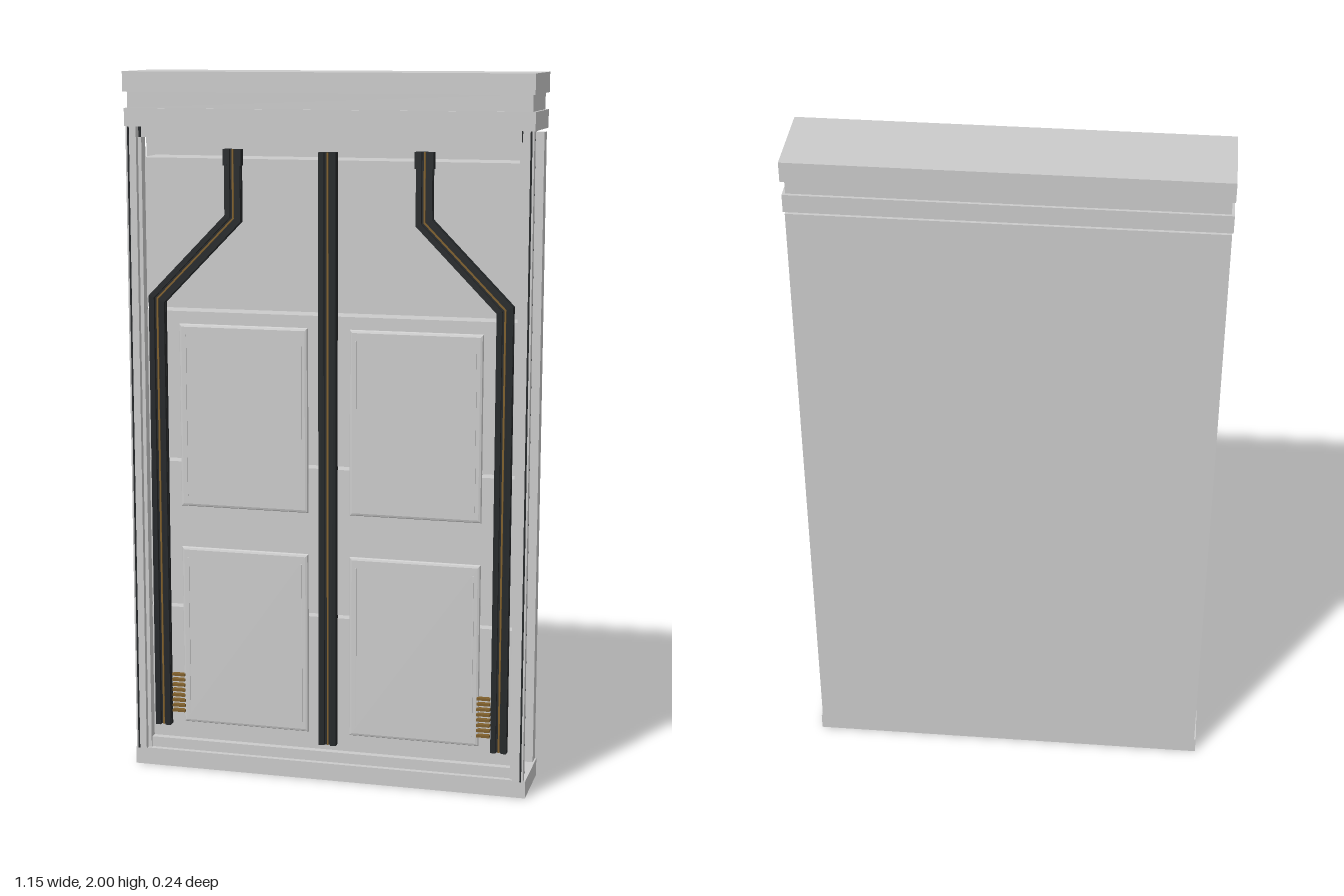
import * as THREE from 'three';

const mat = (color) => new THREE.MeshStandardMaterial({ color, flatShading: true });
const grey = mat(0xcccccc);
const dark = mat(0x25282a);
const bronze = mat(0x80602c);

export function createModel() {
  const model = new THREE.Group();

  function add(name, geometry, material) {
    const mesh = new THREE.Mesh(geometry, material);
    mesh.name = name;
    model.add(mesh);
    return mesh;
  }

  // Box given by its limits on each axis
  function box(name, x0, x1, y0, y1, z0, z1, material = grey) {
    const g = new THREE.BoxGeometry(x1 - x0, y1 - y0, z1 - z0);
    g.translate((x0 + x1) / 2, (y0 + y1) / 2, (z0 + z1) / 2);
    return add(name, g, material);
  }

  // Flat bar of constant width following a path, with mitred bends
  function ribbon(name, path, width, z0, z1, material, shift = 0) {
    const pts = path.map(([x, y]) => new THREE.Vector2(x, y));
    const offset = (d) => pts.map((p, i) => {
      const a = pts[Math.max(i - 1, 0)], b = pts[Math.min(i + 1, pts.length - 1)];
      const d1 = (i > 0 ? p.clone().sub(a) : b.clone().sub(p)).normalize();
      const d2 = (i < pts.length - 1 ? b.clone().sub(p) : d1.clone()).normalize();
      const n1 = new THREE.Vector2(-d1.y, d1.x);
      const n = n1.clone().add(new THREE.Vector2(-d2.y, d2.x)).normalize();
      return p.clone().addScaledVector(n, d / n.dot(n1));
    });
    const outline = [...offset(shift - width / 2), ...offset(shift + width / 2).reverse()];
    const g = new THREE.ExtrudeGeometry(new THREE.Shape(outline), { depth: z1 - z0, bevelEnabled: false });
    g.translate(0, 0, z0);
    return add(name, g, material);
  }

  // Plinth and stepped cornice
  box('plinth', -0.575, 0.575, 0, 0.05, -0.095, 0.1);
  box('corniceLower', -0.573, 0.573, 1.85, 1.9, -0.108, 0.11);
  box('corniceNeck', -0.565, 0.565, 1.9, 1.945, -0.1, 0.105);
  box('corniceTop', -0.573, 0.573, 1.945, 2, -0.12, 0.12);

  // Back board and the front rails that close the frame
  box('backBoard', -0.57, 0.57, 0.04, 1.84, -0.1, -0.06);
  box('topBeam', -0.545, 0.545, 1.82, 1.85, -0.09, 0.085);
  box('bottomRail', -0.54, 0.54, 0.05, 0.08, 0.06, 0.085);

  // Stacked carcass blocks with narrow gaps between them
  const levels = [0.052, 0.478, 0.908, 1.34, 1.768];
  for (let i = 0; i < 4; i++) {
    box('carcassBlock' + (i + 1), -0.54, 0.54, levels[i] + (i ? 0.005 : 0), levels[i + 1] - 0.005, -0.06, 0.065);
  }

  // Raised door panels with a bevelled rim and a shallow inner field
  for (const s of [-1, 1]) {
    for (const y of [0.13, 0.775]) {
      const w = 0.375, h = 0.525, b = 0.008;
      const rect = new THREE.Shape();
      rect.moveTo(-w / 2 + b, -h / 2 + b);
      rect.lineTo(w / 2 - b, -h / 2 + b);
      rect.lineTo(w / 2 - b, h / 2 - b);
      rect.lineTo(-w / 2 + b, h / 2 - b);
      const g = new THREE.ExtrudeGeometry(rect, {
        depth: 0.003, bevelEnabled: true, bevelSize: b, bevelThickness: 0.006, bevelSegments: 2,
      });
      g.translate(s * 0.2475, y + h / 2, 0.064);
      add('doorPanel', g, grey);
      for (const e of [-1, 1]) {
        const x = s * 0.2475 + e * 0.168;
        box('panelBead', x - 0.002, x + 0.002, y + 0.03, y + h - 0.03, 0.07, 0.076);
      }
    }
  }

  // Central dark mullion with ridges
  box('mullion', -0.025, 0.025, 0.1, 1.785, 0.064, 0.08, dark);
  for (const x of [-0.017, 0.017]) box('mullionRidge', x - 0.008, x + 0.008, 0.1, 1.785, 0.08, 0.088, dark);
  box('mullionInlay', -0.0025, 0.0025, 0.1, 1.785, 0.08, 0.082, bronze);

  for (const s of [-1, 1]) {
    // Corner posts: light front strip, dark core and dark groove
    const span = (name, a, b, ...rest) => box(name, Math.min(s * a, s * b), Math.max(s * a, s * b), ...rest);
    span('cornerPost', 0.54, 0.57, 0.05, 1.85, 0.087, 0.108);
    span('postCore', 0.533, 0.568, 0.05, 1.85, 0.074, 0.087, dark);
    span('postGroove', 0.56, 0.565, 0.05, 1.85, 0.1, 0.109, dark);
    span('postFillet', 0.53, 0.54, 0.05, 1.82, 0.06, 0.092);

    // Cranked side rails with twin ridges and a bronze line between
    const path = [[s * 0.495, 0.12], [s * 0.495, 1.37], [s * 0.27, 1.6], [s * 0.27, 1.79]];
    ribbon('sideRail', path, 0.046, 0.064, 0.078, dark);
    for (const d of [-0.015, 0.015]) ribbon('sideRailRidge', path, 0.015, 0.078, 0.088, dark, d);
    ribbon('sideRailInlay', path, 0.005, 0.077, 0.081, bronze);
    for (const d of [-0.02, 0.02]) {
      const x = s * 0.27 + d;
      box('railEndCap', x - 0.006, x + 0.006, 1.745, 1.79, 0.064, 0.089, dark);
    }

    // Small louvres beside the lower panels
    for (let i = 0; i < 8; i++) {
      const y = 0.16 + i * 0.0155;
      span('louvre', 0.43, 0.468, y, y + 0.007, 0.064, 0.08, bronze);
    }
  }
  return model;
}
